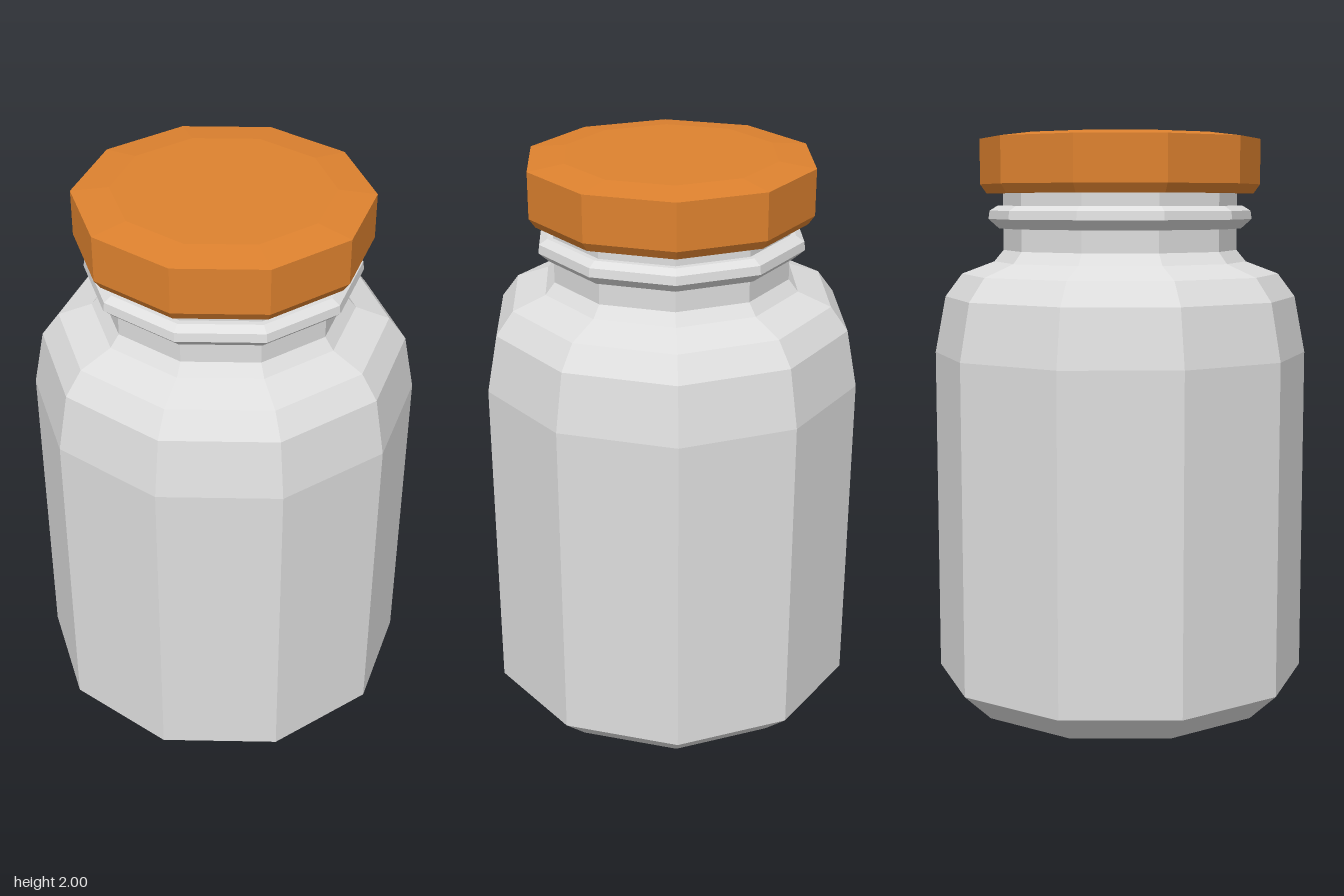
import * as THREE from 'three';

const SIDES = 10;

// Faceted solid of revolution from [radius, height] points, listed bottom to top
function turned(name, points, material) {
  const profile = points.map(([r, y]) => new THREE.Vector2(r, y));
  const geometry = new THREE.LatheGeometry(profile, SIDES).toNonIndexed();
  geometry.computeVertexNormals(); // flat facets
  const mesh = new THREE.Mesh(geometry, material);
  mesh.name = name;
  return mesh;
}

export function createModel() {
  const glass = new THREE.MeshStandardMaterial({ color: 0xdedede });
  glass.name = 'pale grey glass';
  const orange = new THREE.MeshStandardMaterial({ color: 0xde822f });
  orange.name = 'orange lid';

  const jar = new THREE.Group();
  jar.name = 'jar';

  // Body: flat base, bevelled foot, straight wall, rounded shoulder, neck
  jar.add(turned('body', [
    [0, 0], [0.553, 0], [0.655, 0.095], [0.655, 1.24], [0.617, 1.437],
    [0.557, 1.517], [0.443, 1.56], [0.41, 1.6], [0.41, 1.82],
  ], glass));

  // Raised ring around the neck
  jar.add(turned('neckRing', [
    [0.405, 1.675], [0.425, 1.675], [0.462, 1.708], [0.458, 1.737],
    [0.43, 1.754], [0.405, 1.754],
  ], glass));

  // Lid: bevelled lower rim and a slightly domed top
  jar.add(turned('lid', [
    [0, 1.797], [0.468, 1.797], [0.49, 1.828], [0.49, 1.985], [0.365, 2], [0, 2],
  ], orange));

  return jar;
}
